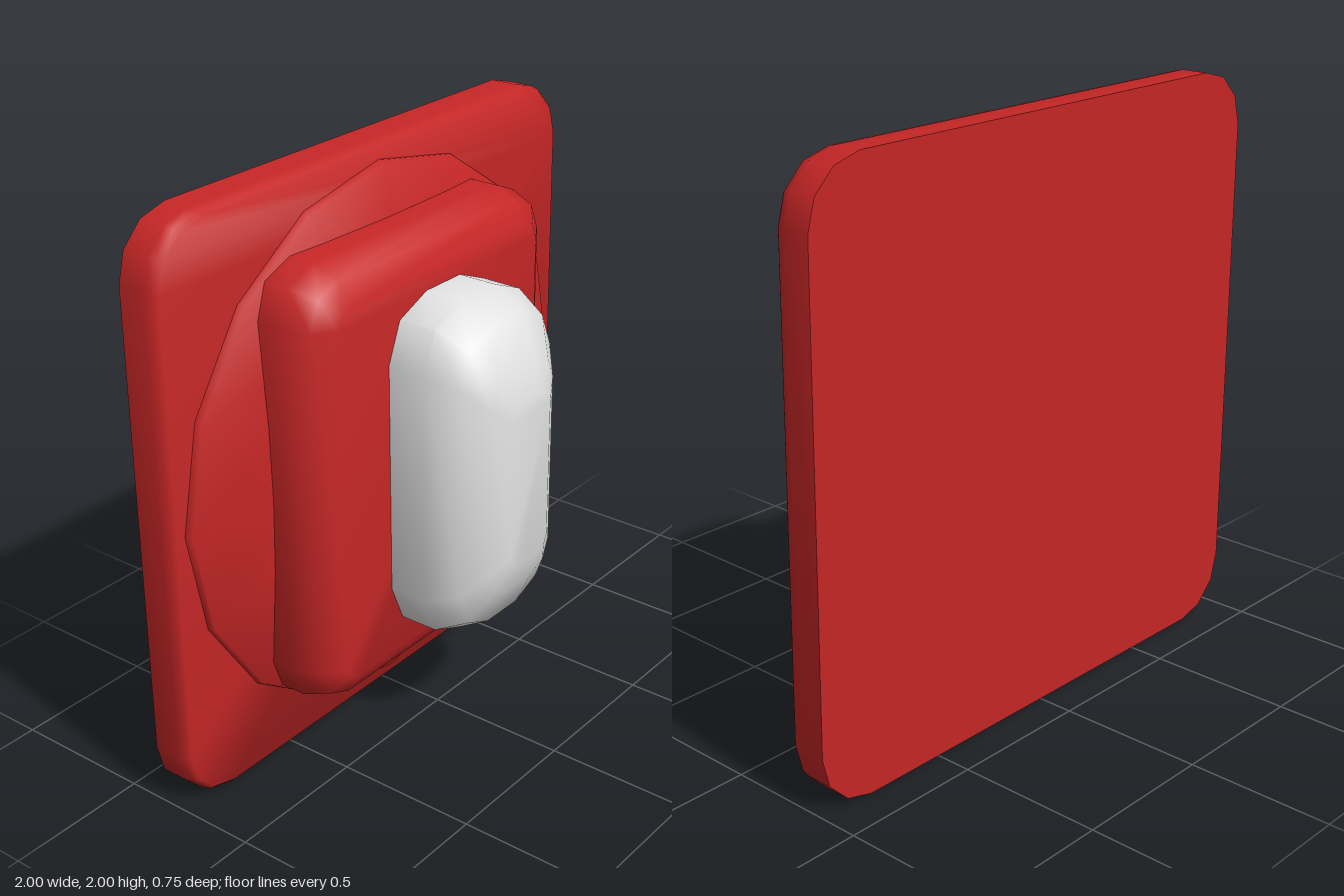
import * as THREE from 'three';
import { toCreasedNormals } from 'three/addons/utils/BufferGeometryUtils.js';

const CREASE = 0.9;

// Rounded rectangle, counter-clockwise seen from +z
function roundedRect(hx, hy, r, segments) {
  const points = [];
  const corners = [[1, 1], [-1, 1], [-1, -1], [1, -1]];
  corners.forEach(([sx, sy], c) => {
    for (let i = 0; i <= segments; i++) {
      const a = (c + i / segments) * Math.PI / 2;
      points.push([sx * (hx - r) + r * Math.cos(a), sy * (hy - r) + r * Math.sin(a)]);
    }
  });
  return points;
}

// Closed solid through sections { z, hx, hy, r }, listed from back to front
function loft(sections, segments) {
  const positions = [];
  const index = [];
  const n = 4 * (segments + 1);
  for (const { z, hx, hy, r } of sections) {
    for (const [x, y] of roundedRect(hx, hy, r, segments)) positions.push(x, y, z);
  }
  for (let s = 0; s < sections.length - 1; s++) {
    for (let i = 0; i < n; i++) {
      const a = s * n + i;
      const b = s * n + (i + 1) % n;
      index.push(a, b, b + n, a, b + n, a + n);
    }
  }
  // Flat back and front caps
  const front = (sections.length - 1) * n;
  for (let i = 1; i < n - 1; i++) {
    index.push(0, i + 1, i);
    index.push(front, front + i, front + i + 1);
  }
  const geometry = new THREE.BufferGeometry();
  geometry.setAttribute('position', new THREE.Float32BufferAttribute(positions, 3));
  geometry.setIndex(index);
  return toCreasedNormals(geometry, CREASE);
}

export function createModel() {
  const red = new THREE.MeshStandardMaterial({ color: 0xc62626 });
  red.name = 'red';
  const white = new THREE.MeshStandardMaterial({ color: 0xe2e2e2 });
  white.name = 'white';

  const model = new THREE.Group();
  model.name = 'wallSwitch';
  const add = (name, geometry, material) => {
    const mesh = new THREE.Mesh(geometry, material);
    mesh.name = name;
    mesh.position.y = 1;
    model.add(mesh);
  };

  // Square wall plate with a softened front edge
  add('wallPlate', loft([
    { z: -0.375, hx: 1, hy: 1, r: 0.2 },
    { z: -0.28, hx: 1, hy: 1, r: 0.2 },
    { z: -0.25, hx: 0.993, hy: 0.993, r: 0.195 },
    { z: -0.235, hx: 0.98, hy: 0.98, r: 0.185 },
  ], 3), red);

  // Shallow sixteen-sided dome
  const profile = [[0.945, -0.24], [0.945, -0.225], [0.935, -0.213], [0.62, -0.172], [0, -0.14]];
  const dome = new THREE.LatheGeometry(profile.map(([r, z]) => new THREE.Vector2(r, z)), 16);
  dome.rotateX(Math.PI / 2);
  add('domedDisc', toCreasedNormals(dome, CREASE), red);

  // Raised housing around the lever
  add('housing', loft([
    { z: -0.23, hx: 0.617, hy: 0.765, r: 0.16 },
    { z: -0.12, hx: 0.617, hy: 0.765, r: 0.16 },
    { z: -0.025, hx: 0.585, hy: 0.728, r: 0.13 },
    { z: 0.023, hx: 0.51, hy: 0.655, r: 0.06 },
  ], 2), red);

  // Tall rounded lever
  add('lever', loft([
    { z: 0, hx: 0.277, hy: 0.592, r: 0.19 },
    { z: 0.16, hx: 0.277, hy: 0.592, r: 0.19 },
    { z: 0.272, hx: 0.24, hy: 0.528, r: 0.16 },
    { z: 0.338, hx: 0.165, hy: 0.395, r: 0.1 },
    { z: 0.375, hx: 0.1, hy: 0.29, r: 0.05 },
  ], 2), white);

  return model;
}
